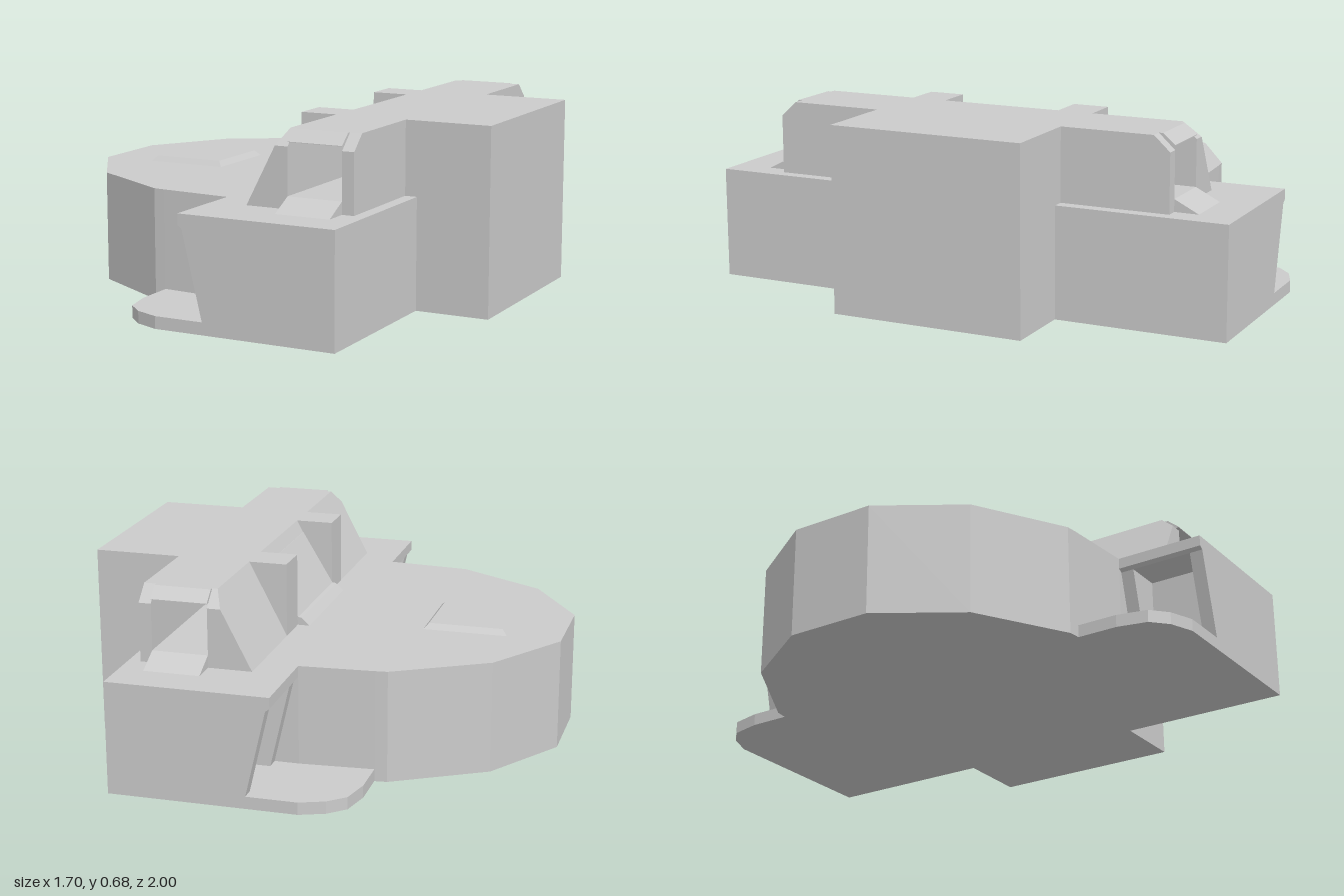
import * as THREE from 'three';

const material = new THREE.MeshStandardMaterial({ color: 0xcccccc, flatShading: true });

// Extrude a list of points along the shape's own z axis
function prism(points, depth) {
  const shape = new THREE.Shape(points.map(([a, b]) => new THREE.Vector2(a, b)));
  return new THREE.ExtrudeGeometry(shape, { depth, bevelEnabled: false });
}

// (x, y) profile running from z0 to z1
const alongZ = (points, z0, z1) => prism(points, z1 - z0).translate(0, 0, z0);

// (z, y) profile running from x0 to x1
const alongX = (points, x0, x1) => prism(points.map(([z, y]) => [-z, y]), x1 - x0)
  .rotateY(Math.PI / 2).translate(x0, 0, 0);

// (x, z) outline running from y0 to y1
const alongY = (points, y0, y1) => prism(points.map(([x, z]) => [x, -z]), y1 - y0)
  .rotateX(-Math.PI / 2).translate(0, y0, 0);

const box = (x0, x1, y0, y1, z0, z1) => new THREE.BoxGeometry(x1 - x0, y1 - y0, z1 - z0)
  .translate((x0 + x1) / 2, (y0 + y1) / 2, (z0 + z1) / 2);

// Complete an outline given on the +z half with its mirror image
const mirrorZ = (half) => [...half, ...half.map(([x, z]) => [x, -z]).reverse()];

// Symmetric (z, y) section with chamfered upper corners
const chamfered = (y0, yc, zc) => [
  [-0.77, y0], [0.77, y0], [0.77, yc], [zc, 0.68], [-zc, 0.68], [-0.77, yc],
];

export function createModel() {
  const group = new THREE.Group();
  const add = (name, geometry) => {
    const mesh = new THREE.Mesh(geometry, material);
    mesh.name = name;
    group.add(mesh);
  };

  // Low faceted main body
  add('body', alongY(mirrorZ([
    [-0.85, 0.16], [-0.66, 0.455], [-0.33, 0.645], [-0.285, 0.65], [-0.015, 0.67], [0.575, 0.67],
  ]), 0, 0.41));

  // Bevelled hatch on the deck
  const hatch = box(-0.655, -0.335, 0.405, 0.43, -0.16, 0.16);
  const hp = hatch.attributes.position;
  for (let i = 0; i < hp.count; i++) {
    if (hp.getY(i) > 0.42) {
      hp.setX(i, -0.495 + (hp.getX(i) + 0.495) * 0.86);
      hp.setZ(i, hp.getZ(i) * 0.86);
    }
  }
  hatch.computeVertexNormals();
  add('hatch', hatch);

  // Side wings: two raked walls with a recess between them, on a rounded foot plate
  const wall = [[0.575, 0.045], [0.575, 0.41], [-0.015, 0.41], [-0.015, 0.37], [0, 0.36], [0.075, 0.045]];
  const recess = [[0.575, 0.045], [0.575, 0.41], [-0.015, 0.41], [-0.015, 0.37], [0, 0.36], [0.14, 0.36], [0.14, 0.045]];
  const plate = [
    [-0.285, 0.65], [-0.285, 0.8], [-0.26, 0.91], [-0.2, 0.965], [-0.11, 1], [0.575, 1], [0.575, 0.67], [-0.015, 0.67],
  ];
  for (const [side, s] of [['left', 1], ['right', -1]]) {
    const slice = (name, points, a, b) =>
      add(side + name, alongZ(points, Math.min(s * a, s * b), Math.max(s * a, s * b)));
    slice('WingInnerWall', wall, 0.67, 0.72);
    slice('WingRecess', recess, 0.72, 0.95);
    slice('WingOuterWall', wall, 0.95, 1);
    add(side + 'FootPlate', alongY(plate.map(([x, z]) => [x, s * z]), 0, 0.045));
  }

  // Raised crossbar: raked face, then a tunnel framed by roof, sill and rear wall
  const rake = alongX(chamfered(0.41, 0.625, 0.71), 0.12, 0.28);
  const rp = rake.attributes.position;
  for (let i = 0; i < rp.count; i++) {
    if (rp.getX(i) < 0.2) rp.setX(i, 0.12 + (rp.getY(i) - 0.41) * 0.14 / 0.27);
  }
  rake.computeVertexNormals();
  add('crossbarRakedFace', rake);
  add('tunnelRoof', alongX(chamfered(0.64, 0.642, 0.725), 0.28, 0.485));
  add('tunnelSill', alongX([[-0.86, 0.41], [0.86, 0.41], [0.77, 0.455], [-0.77, 0.455]], 0.28, 0.485));
  add('crossbarRearWall', alongX(chamfered(0.41, 0.625, 0.71), 0.485, 0.53));

  // Pillars either side of the sloped centre panel
  add('leftPillar', box(0.12, 0.28, 0.41, 0.68, 0.23, 0.365));
  add('rightPillar', box(0.12, 0.28, 0.41, 0.68, -0.365, -0.23));
  add('centrePanel', alongZ([
    [0.075, 0.41], [0.105, 0.438], [0.118, 0.44], [0.235, 0.635], [0.27, 0.635], [0.27, 0.41],
  ], -0.23, 0.23));

  // Tall block at the end
  add('endBlock', box(0.53, 0.85, 0, 0.68, -0.365, 0.365));

  return group;
}
